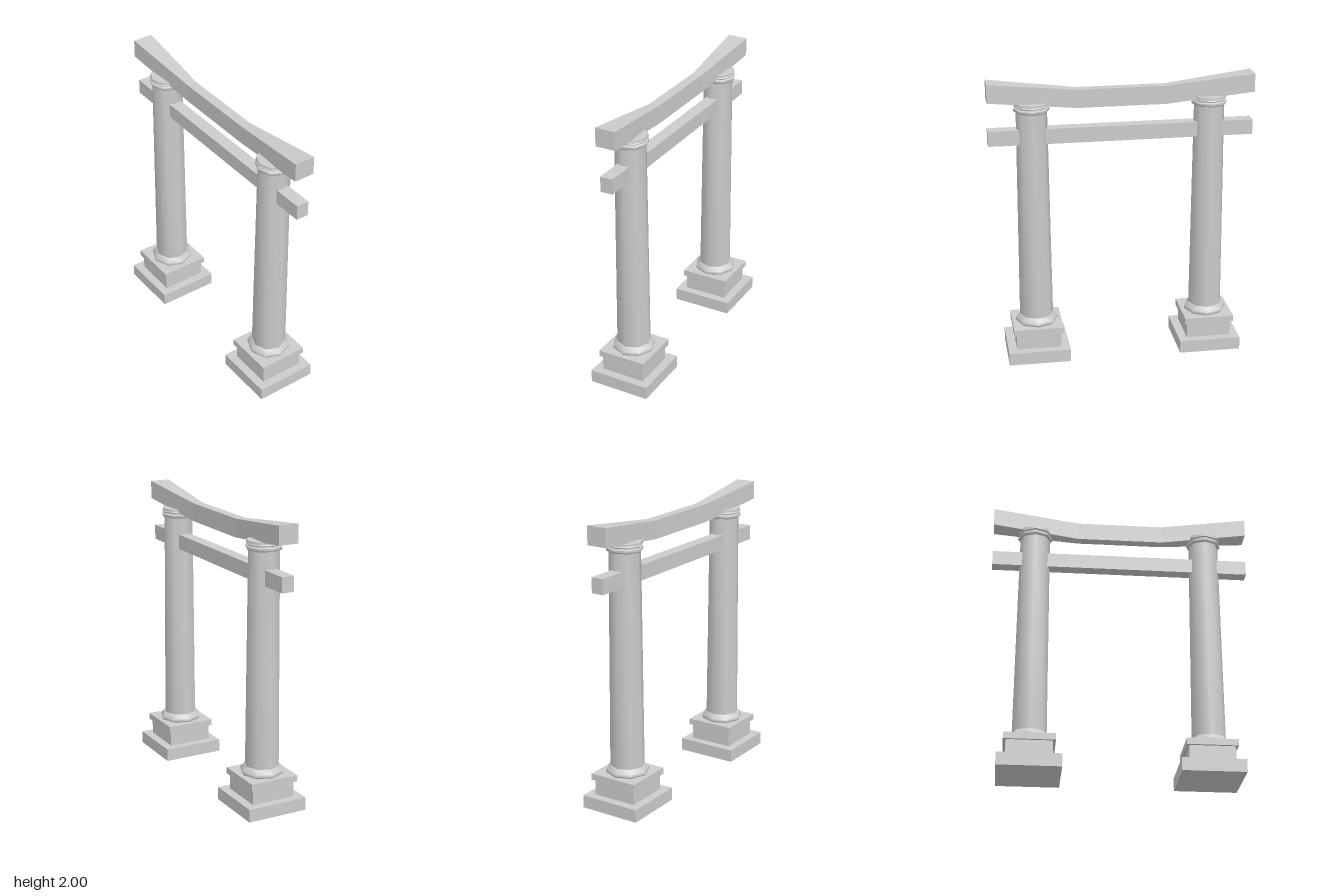
import * as THREE from 'three';
import { toCreasedNormals } from 'three/addons/utils/BufferGeometryUtils.js';

const stone = new THREE.MeshStandardMaterial({ color: 0xcccccc });
const flatStone = new THREE.MeshStandardMaterial({ color: 0xcccccc, flatShading: true });

function box(name, w, h, d, y) {
  const mesh = new THREE.Mesh(new THREE.BoxGeometry(w, h, d), flatStone);
  mesh.name = name;
  mesh.position.y = y + h / 2;
  return mesh;
}

// Eight-sided turned part from [radius, height] pairs
function turned(name, profile) {
  const points = profile.map(([r, y]) => new THREE.Vector2(r, y));
  const mesh = new THREE.Mesh(toCreasedNormals(new THREE.LatheGeometry(points, 8), 0.85), stone);
  mesh.name = name;
  return mesh;
}

function createColumn(name) {
  const column = new THREE.Group();
  column.name = name;
  column.add(
    // Stepped square pedestal
    box('footing', 0.435, 0.09, 0.435, 0),
    box('pedestalBlock', 0.315, 0.11, 0.315, 0.09),
    box('plinth', 0.35, 0.045, 0.35, 0.2),
    // Base moulding, tapered shaft and ringed capital
    turned('baseMoulding', [[0, 0.245], [0.143, 0.245], [0.15, 0.255], [0.147, 0.27], [0.12, 0.3], [0, 0.3]]),
    turned('shaft', [[0.118, 0.295], [0.106, 1.8]]),
    turned('capital', [
      [0, 1.788], [0.116, 1.788], [0.123, 1.795], [0.123, 1.81], [0.113, 1.817],
      [0.113, 1.822], [0.123, 1.828], [0.118, 1.835], [0.118, 1.85], [0, 1.85],
    ]),
  );
  return column;
}

// Lintel that rises and thickens towards both ends
function createLintel() {
  const geometry = new THREE.BoxGeometry(1.824, 0.127, 0.07, 3, 1, 1);
  const p = geometry.attributes.position;
  for (let i = 0; i < p.count; i++) {
    const t = Math.max(0, (Math.abs(p.getX(i)) - 0.304) / 0.608);
    p.setY(i, p.getY(i) + 1.868 + 0.068 * t);
    p.setZ(i, p.getZ(i) * (1 + 1.03 * t));
  }
  geometry.computeVertexNormals();
  const mesh = new THREE.Mesh(geometry, flatStone);
  mesh.name = 'curvedLintel';
  return mesh;
}

export function createModel() {
  const gate = new THREE.Group();
  gate.name = 'gate';
  for (const [name, side] of [['leftColumn', 1], ['rightColumn', -1]]) {
    const column = createColumn(name);
    column.position.x = side * 0.611;
    gate.add(column);
  }
  // Tie beam passing through both shafts
  gate.add(box('tieBeam', 1.824, 0.105, 0.088, 1.564), createLintel());
  return gate;
}
